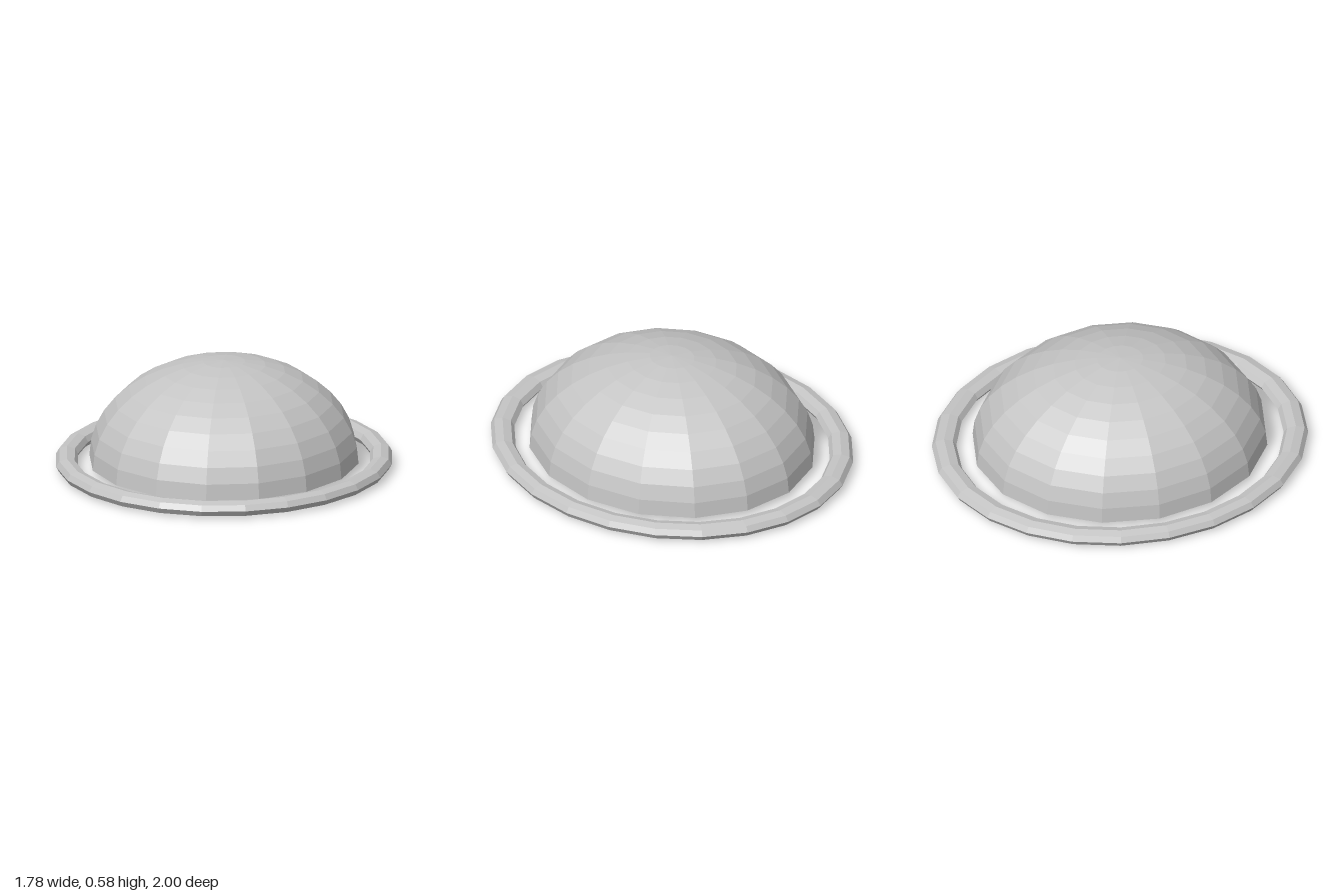
import * as THREE from 'three';

export function createModel() {
  const group = new THREE.Group();
  const grey = new THREE.MeshStandardMaterial({
    name: 'grey', color: 0xc4c4c4, flatShading: true, side: THREE.DoubleSide,
  });

  const addPart = (name, geometry) => {
    const mesh = new THREE.Mesh(geometry, grey);
    mesh.name = name;
    group.add(mesh);
  };

  // Open, hollow dome: a squashed half sphere, slightly longer in z
  const dome = new THREE.SphereGeometry(1, 16, 10, 0, Math.PI * 2, 0, Math.PI / 2);
  dome.scale(0.714, 0.543, 0.788).translate(0, 0.04, 0);
  addPart('dome', dome);

  // Flattened oval ring lying around the foot of the dome
  const ring = new THREE.TorusGeometry(0.935, 0.065, 8, 24);
  ring.rotateX(Math.PI / 2).scale(0.89, 0.638, 1).translate(0, 0.0415, 0);
  addPart('brimRing', ring);

  return group;
}
